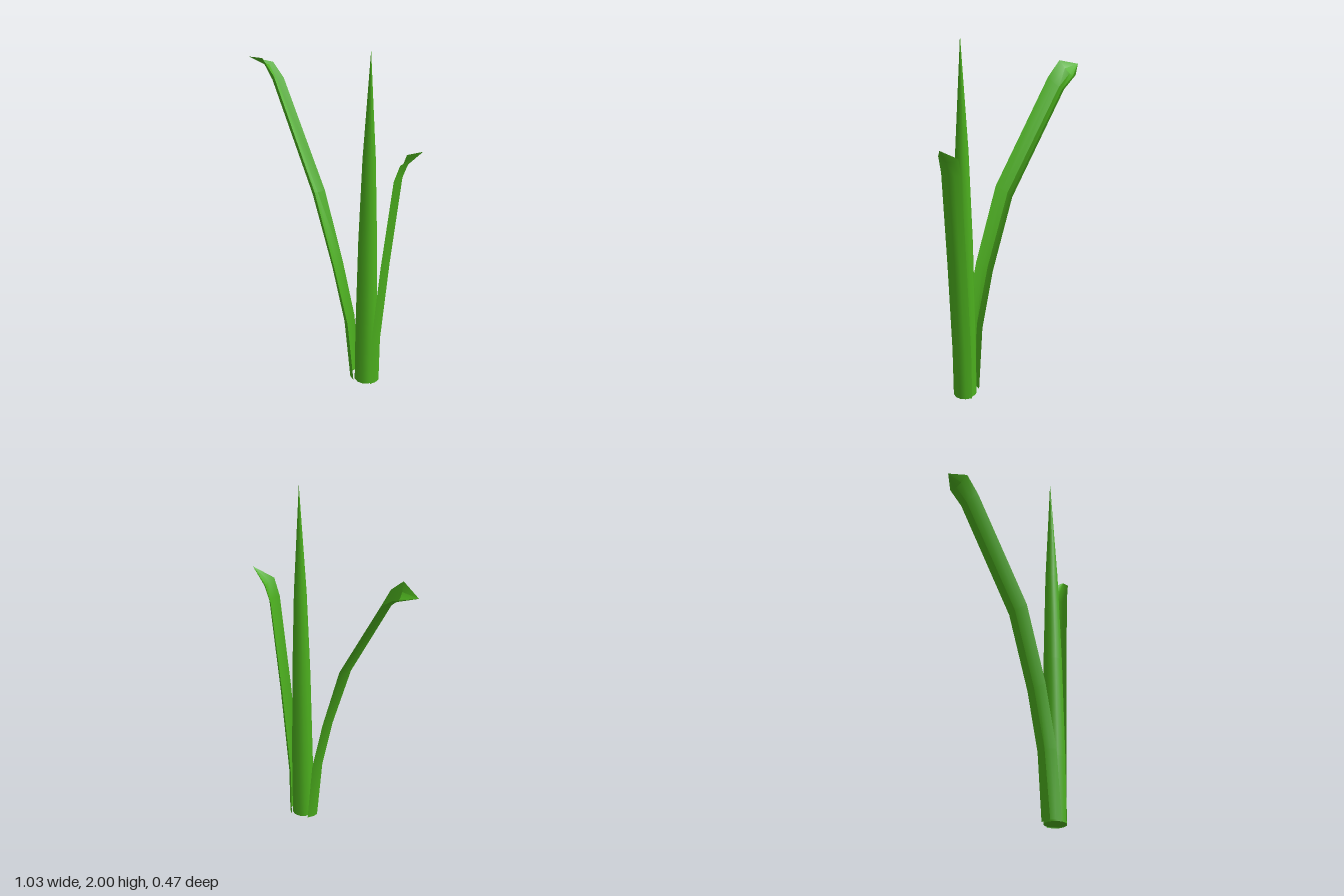
import * as THREE from 'three';
import { toCreasedNormals } from 'three/addons/utils/BufferGeometryUtils.js';

const green = new THREE.MeshStandardMaterial({ color: 0x4caf1e, side: THREE.DoubleSide });

// Channel-shaped blade: each level gives its front edge, keel and back edge.
function blade(name, levels, tip) {
  const n = 4, pos = [], index = [];
  const rows = [...levels, [tip, tip, tip]];
  for (const [a, k, b] of rows) {
    for (let i = 0; i <= n; i++) {
      const t = i / n;
      const wa = 2 * (t - 0.5) * (t - 1), wk = 4 * t * (1 - t), wb = 2 * t * (t - 0.5);
      for (let c = 0; c < 3; c++) pos.push(wa * a[c] + wk * k[c] + wb * b[c]);
    }
  }
  for (let r = 0; r < rows.length - 1; r++) {
    for (let i = 0; i < n; i++) {
      const p = r * (n + 1) + i, q = p + n + 1;
      index.push(p, p + 1, q);
      if (r < rows.length - 2) index.push(p + 1, q + 1, q);
    }
  }
  const geo = new THREE.BufferGeometry();
  geo.setAttribute('position', new THREE.Float32BufferAttribute(pos, 3));
  geo.setIndex(index);
  const mesh = new THREE.Mesh(toCreasedNormals(geo, 0.6), green);
  mesh.name = name;
  return mesh;
}

export function createModel() {
  const group = new THREE.Group();
  group.name = 'plant';

  // Central pointed stalk with a flat base
  const stalk = new THREE.Group();
  stalk.name = 'stalk';
  const profile = [[0.06, 0], [0.059, 0.35], [0.05, 0.9], [0.034, 1.4], [0, 2]];
  const shaft = new THREE.Mesh(
    new THREE.LatheGeometry(profile.map(([r, y]) => new THREE.Vector2(r, y)), 12), green);
  shaft.name = 'stalkShaft';
  const base = new THREE.Mesh(new THREE.CircleGeometry(0.06, 12).rotateX(Math.PI / 2), green);
  base.name = 'stalkBase';
  stalk.add(shaft, base);
  stalk.position.set(0.24, 0, 0.175);
  group.add(stalk);

  // Short upright leaf: height, edge x, keel x
  const short = [[0, 0.285, 0.315], [0.28, 0.287, 0.318], [0.8, 0.33, 0.36],
    [1.33, 0.385, 0.412], [1.43, 0.415, 0.438]];
  group.add(blade('leftLeaf', short.map(([y, e, k], i) => [
    [e - 0.004, y, 0.228 + i * 0.002], [k, y - (i > 3 ? 0.02 : 0), 0.178 + i * 0.001],
    [e + 0.004, y, 0.12 + i * 0.002],
  ]), [0.512, 1.5, 0.19]));

  // Long leaf arching outwards and back
  group.add(blade('rightLeaf', [
    [[0.185, 0, 0.22], [0.152, 0, 0.167], [0.19, 0, 0.115]],
    [[0.145, 0.37, 0.206], [0.113, 0.36, 0.15], [0.155, 0.36, 0.105]],
    [[0.06, 0.7, 0.17], [0.038, 0.67, 0.113], [0.08, 0.67, 0.07]],
    [[-0.065, 1.1, 0.1], [-0.09, 1.06, 0.042], [-0.04, 1.06, 0]],
    [[-0.34, 1.635, -0.1], [-0.362, 1.58, -0.155], [-0.32, 1.585, -0.195]],
    [[-0.415, 1.71, -0.14], [-0.415, 1.642, -0.197], [-0.39, 1.645, -0.237]],
  ], [-0.515, 1.668, -0.215]));

  return group;
}
